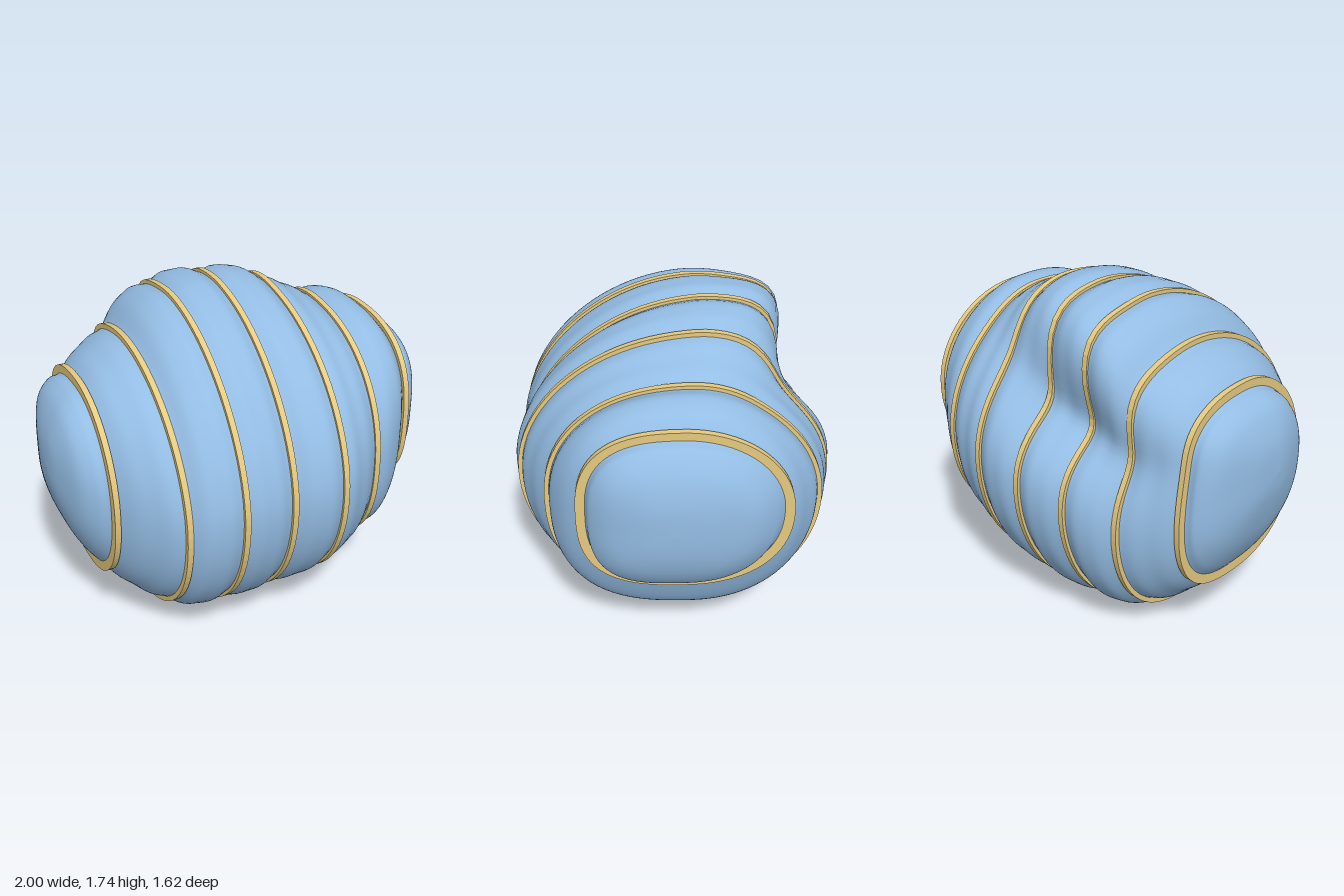
import * as THREE from 'three';

// Body stations along x: [x, bottom y, top y, back z, front z]
const STATIONS = [
  [-1, 0.95, 0.95, 0, 0], [-0.985, 0.81, 1.11, -0.17, 0.11], [-0.93, 0.61, 1.25, -0.37, 0.27],
  [-0.86, 0.46, 1.32, -0.46, 0.355], [-0.79, 0.36, 1.35, -0.48, 0.405], [-0.66, 0.21, 1.46, -0.58, 0.57],
  [-0.52, 0.11, 1.52, -0.65, 0.68], [-0.39, 0.03, 1.66, -0.74, 0.76], [-0.255, 0.04, 1.69, -0.745, 0.76],
  [-0.12, 0, 1.73, -0.8, 0.78], [0.01, 0.03, 1.7, -0.785, 0.75], [0.145, 0.04, 1.72, -0.82, 0.8],
  [0.28, 0.1, 1.66, -0.785, 0.77], [0.41, 0.15, 1.61, -0.77, 0.72], [0.545, 0.26, 1.54, -0.72, 0.62],
  [0.69, 0.32, 1.55, -0.65, 0.57], [0.81, 0.59, 1.45, -0.535, 0.435],
  [0.88, 0.62, 1.42, -0.47, 0.4], [0.95, 0.73, 1.32, -0.36, 0.3], [0.99, 0.87, 1.18, -0.17, 0.15],
  [1, 1.02, 1.02, 0, 0],
];
const FIRST_BAND = 4, LAST_BAND = 16; // a band sits on every second station between these
const SEGMENTS = 96;
const gauss = (d, s) => Math.exp(-(d * d) / (2 * s * s));

// Smooth interpolation between stations
function stationAt(t) {
  const last = STATIONS.length - 1;
  const i = Math.min(Math.floor(t), last - 1);
  const f = t - i;
  const [a, b, c, d] = [i - 1, i, i + 1, i + 2].map((k) => STATIONS[Math.max(0, Math.min(last, k))]);
  return b.map((v, k) => v + 0.5 * f * (c[k] - a[k]
    + f * (2 * a[k] - 5 * v + 4 * c[k] - d[k] + f * (3 * (v - c[k]) + d[k] - a[k]))));
}

// Closed cross-section: a four-way superellipse with a slanting groove high on the back.
// Towards the ends it grows squarer, more so at the front of +x and the back of -x.
function section([x, bottom, top, back, front], offset = 0, px = x) {
  const cy = (bottom + top) / 2;
  const h = Math.max(1e-5, (top - bottom) / 2);
  const cz = Math.max(back, Math.min(front, -0.12 * (1 - x * x)));
  const along = gauss(x + 0.2, 0.31);
  const groove = 35 + 22 * (x + 0.25);
  const loop = [];
  for (let j = 0; j < SEGMENTS; j++) {
    const a = (j / SEGMENTS) * Math.PI * 2;
    const c = Math.cos(a), s = Math.sin(a);
    const w = Math.max(1e-5, c > 0 ? front - cz : cz - back);
    const n = (s > 0 ? 1.8 : 2.05) + ((c > 0) === (x > 0) ? 1.3 : 0.35) * x * x;
    let r = (Math.abs(c / w) ** n + Math.abs(s / h) ** n) ** (-1 / n);
    const d = THREE.MathUtils.radToDeg(Math.PI - a) - groove;
    r *= 1 - along * (0.31 * gauss(d, d < 0 ? 18 : 12) - 0.13 * gauss(d - 23, 12));
    r = Math.max(0, r + offset);
    loop.push([px, cy + r * s, cz + r * c]);
  }
  return loop;
}

// Skin a run of closed loops
function loft(loops) {
  const index = [];
  for (let i = 0; i < loops.length - 1; i++) {
    for (let j = 0; j < SEGMENTS; j++) {
      const k = (j + 1) % SEGMENTS;
      const a = i * SEGMENTS + j, b = a + SEGMENTS;
      const d = i * SEGMENTS + k, c = d + SEGMENTS;
      index.push(a, b, d, b, c, d);
    }
  }
  const geometry = new THREE.BufferGeometry();
  geometry.setAttribute('position', new THREE.Float32BufferAttribute(loops.flat(2), 3));
  geometry.setIndex(index);
  geometry.computeVertexNormals();
  return geometry;
}

export function createModel() {
  const model = new THREE.Group();
  model.name = 'bandedBlob';
  const blue = new THREE.MeshStandardMaterial({ color: 0x94bde4 });
  const gold = new THREE.MeshStandardMaterial({ color: 0xe6ca80, flatShading: true });

  // Lobed body, puffed out a little between the bands
  const steps = (STATIONS.length - 1) * 8;
  const loops = [];
  for (let i = 0; i <= steps; i++) {
    const t = i / 8;
    const puff = t > FIRST_BAND && t < LAST_BAND ? 0.01 * Math.sin(Math.PI * t) ** 2 : 0;
    loops.push(section(stationAt(t), puff));
  }
  const body = new THREE.Mesh(loft(loops), blue);
  body.name = 'body';
  model.add(body);

  // Thin bands seated in the pinches between the lobes
  const bands = new THREE.Group();
  bands.name = 'bands';
  for (let k = FIRST_BAND; k <= LAST_BAND; k += 2) {
    const st = STATIONS[k];
    const outer = Math.abs(st[0]) > 0.7 ? 0.035 : 0.018;
    const profile = [[-0.015, -0.04], [-0.015, outer], [0.015, outer], [0.015, -0.04]];
    const band = new THREE.Mesh(loft(profile.map(([dx, dr]) => section(st, dr, st[0] + dx))), gold);
    band.name = `band${(k - FIRST_BAND) / 2 + 1}`;
    bands.add(band);
  }
  model.add(bands);
  return model;
}
